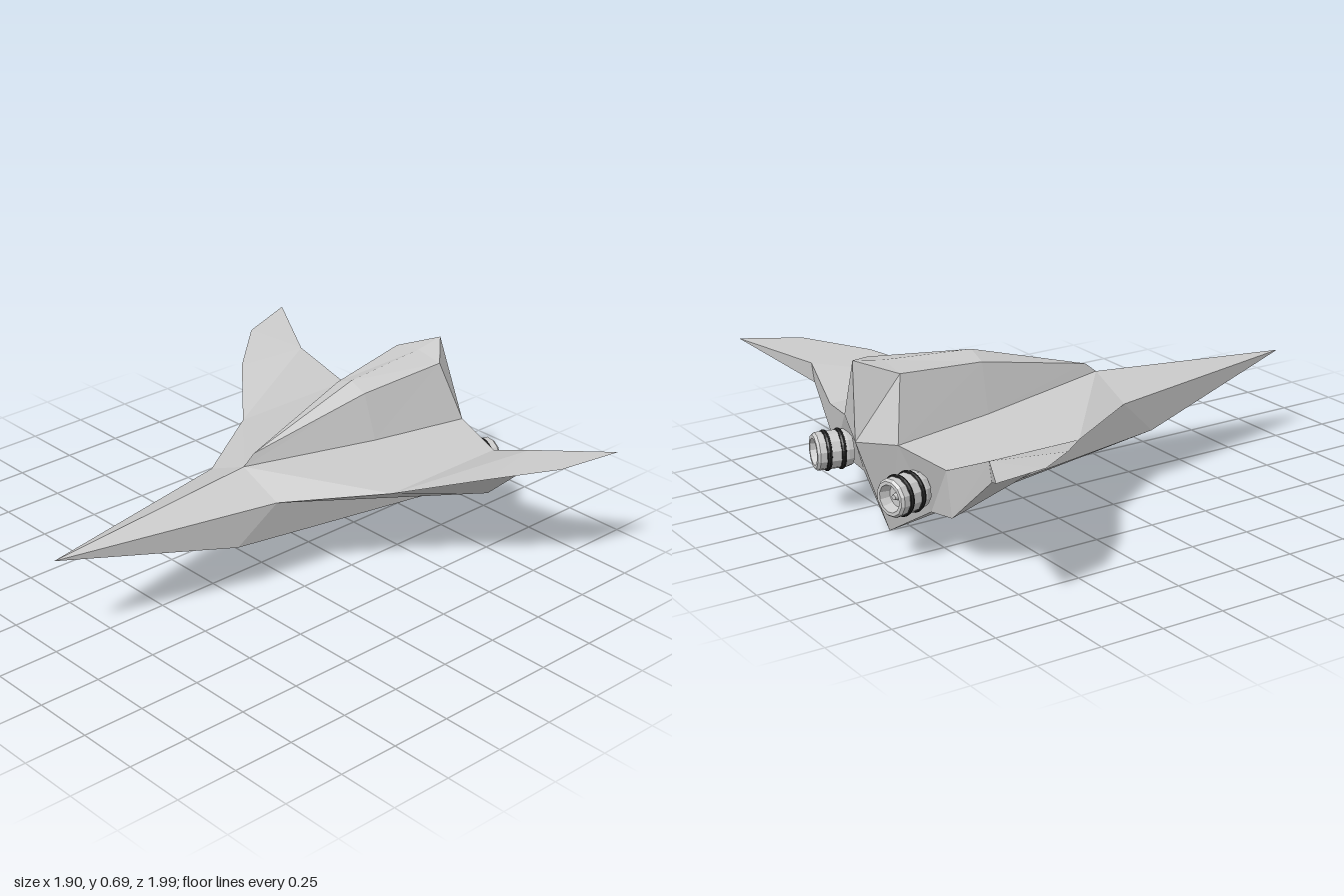
import * as THREE from 'three';

const grey = new THREE.MeshStandardMaterial({ color: 0xcccccc, flatShading: true });
const black = new THREE.MeshStandardMaterial({ color: 0x222222, flatShading: true });

// Corner points of the left (+x) half
const P = {
  // centreline
  nose: [0, 0.375, 0.99], crest: [0, 0.45, 0.09], keelFront: [0, 0.17, 0.25],
  keelRear: [0, 0, -0.835], stern: [0, 0.375, -0.965],
  // hull edges
  shoulder: [0.19, 0.37, 0.09], chineFront: [0.15, 0.22, 0.25], chineRear: [0.25, 0.15, -0.8],
  // wing: leading edge, trailing edge (top and bottom), tip
  lead1: [0.43, 0.375, -0.28], lead2: [0.7, 0.46, -0.51], lead3: [0.88, 0.5, -0.72],
  tip: [0.95, 0.52, -0.96], top1: [0.43, 0.375, -0.84], top2: [0.65, 0.47, -0.8],
  low1: [0.43, 0.19, -0.82], low2: [0.65, 0.39, -0.79],
  // dorsal spine
  base1: [0.13, 0.425, -0.48], base2: [0.2, 0.41, -0.9],
  side1: [0.075, 0.61, -0.47], side2: [0.12, 0.645, -0.84],
  front: [0, 0.49, 0.04], ridge1: [0, 0.64, -0.47], ridge2: [0, 0.665, -0.84], peak: [0, 0.685, -0.965],
};

const hullFaces = [
  'nose shoulder crest', 'crest shoulder lead1', 'crest lead1 base1',
  'base1 lead1 top1', 'base1 top1 base2',
  'nose keelFront chineFront', 'keelFront keelRear chineRear chineFront',
  'nose chineFront shoulder', 'chineFront chineRear shoulder',
  'shoulder chineRear low1 lead1',
  'base2 top1 low1 chineRear', 'stern base2 chineRear keelRear',
];
const wingFaces = [
  'lead1 lead2 top2', 'lead1 top2 top1', 'lead2 lead3 top2', 'lead3 tip top2',
  'lead1 low1 low2 lead2', 'lead2 low2 lead3', 'lead3 low2 tip',
  'top2 tip low2', 'top1 top2 low2 low1',
];
const spineFaces = [
  'front side1 ridge1', 'ridge1 side1 side2 ridge2', 'ridge2 side2 peak',
  'crest base1 side1 front', 'base1 base2 side2 side1', 'peak side2 base2 stern',
];

// Builds faces from named corners for each side (+1 left, -1 right)
function facetMesh(name, faces, sides) {
  const pos = [];
  for (const s of sides) {
    for (const face of faces) {
      const pts = face.split(' ').map((k) => P[k]);
      if (s < 0) pts.reverse();
      for (let i = 1; i < pts.length - 1; i++) {
        for (const p of [pts[0], pts[i], pts[i + 1]]) pos.push(p[0] * s, p[1], p[2]);
      }
    }
  }
  const geo = new THREE.BufferGeometry();
  geo.setAttribute('position', new THREE.Float32BufferAttribute(pos, 3));
  geo.computeVertexNormals();
  const mesh = new THREE.Mesh(geo, grey);
  mesh.name = name;
  return mesh;
}

// Thruster with a hollow rear nozzle and two dark bands; its axis is local y, rear at +y
function thruster(name) {
  const g = new THREE.Group();
  g.name = name;
  const profile = [[0, -0.07], [0.068, -0.07], [0.073, -0.05], [0.073, 0.06], [0.065, 0.07],
    [0.052, 0.07], [0.042, 0.03], [0.015, 0.03], [0.01, 0.05], [0, 0.05]];
  const body = new THREE.Mesh(
    new THREE.LatheGeometry(profile.map(([r, y]) => new THREE.Vector2(r, y)), 12), grey);
  body.name = 'nozzle';
  g.add(body);
  for (const y of [-0.03, 0.025]) {
    const band = new THREE.Mesh(new THREE.TorusGeometry(0.068, 0.011, 8, 24), black);
    band.name = 'nozzleBand';
    band.rotation.x = Math.PI / 2;
    band.position.y = y;
    g.add(band);
  }
  return g;
}

export function createModel() {
  const model = new THREE.Group();
  model.name = 'spacecraft';
  model.add(facetMesh('hull', hullFaces, [1, -1]));
  model.add(facetMesh('dorsalSpine', spineFaces, [1, -1]));
  model.add(facetMesh('leftWing', wingFaces, [1]));
  model.add(facetMesh('rightWing', wingFaces, [-1]));

  // Thrusters splay outwards towards the rear
  for (const s of [1, -1]) {
    const t = thruster(s > 0 ? 'leftThruster' : 'rightThruster');
    t.position.set(0.272 * s, 0.255, -0.922);
    t.quaternion.setFromUnitVectors(
      new THREE.Vector3(0, 1, 0), new THREE.Vector3(0.22 * s, 0, -1).normalize());
    model.add(t);
  }
  return model;
}
